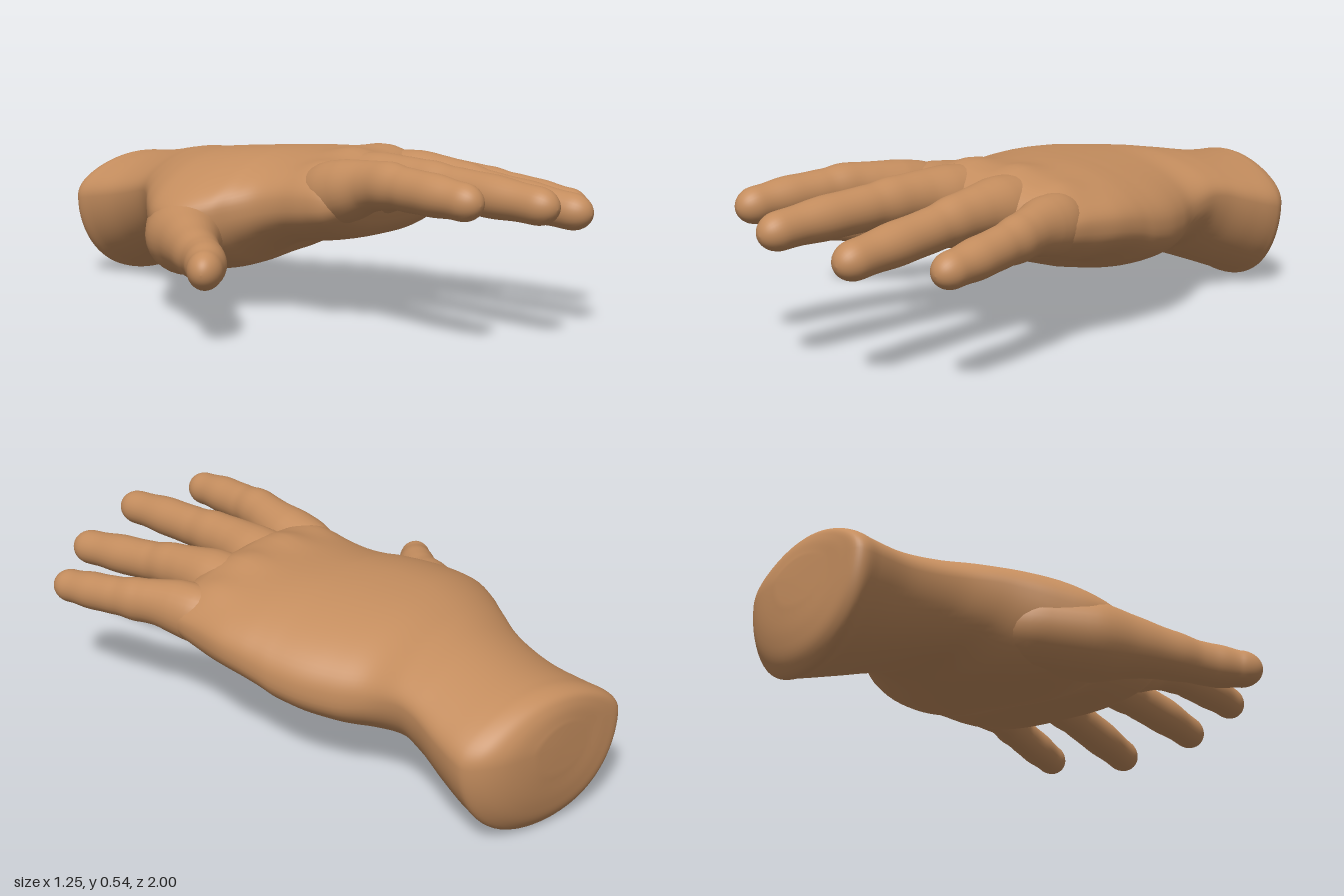
import * as THREE from 'three';

const skin = new THREE.MeshStandardMaterial({ color: 0xc48d5e });
const V = (x, y, z) => new THREE.Vector3(x, y, z);
const bell = (d, w) => Math.exp(-((d / w) ** 2));

// Skin a stack of rings (arrays of points) and close both ends with a fan.
function loft(name, rings) {
  const n = rings[0].length, pos = [], index = [];
  for (const ring of rings) for (const p of ring) pos.push(p.x, p.y, p.z);
  for (let i = 0; i < rings.length - 1; i++) {
    for (let j = 0; j < n; j++) {
      const a = i * n + j, b = i * n + (j + 1) % n;
      index.push(a, b, a + n, b, b + n, a + n);
    }
  }
  const cap = (row, flip) => {
    const mid = V(0, 0, 0), center = pos.length / 3;
    for (const p of rings[row]) mid.addScaledVector(p, 1 / n);
    pos.push(mid.x, mid.y, mid.z);
    for (let j = 0; j < n; j++) {
      const a = row * n + j, b = row * n + (j + 1) % n;
      index.push(center, flip ? b : a, flip ? a : b);
    }
  };
  cap(0, true);
  cap(rings.length - 1, false);
  const g = new THREE.BufferGeometry();
  g.setAttribute('position', new THREE.Float32BufferAttribute(pos, 3));
  g.setIndex(index);
  g.computeVertexNormals();
  const mesh = new THREE.Mesh(g, skin);
  mesh.name = name;
  return mesh;
}

// Finger or thumb: rows of [x, y, z, half width, half height], rounded at the tip,
// swelling slightly at each joint (position along the path, 0 to 1).
function digit(name, rows, joints) {
  const path = new THREE.CatmullRomCurve3(rows.map(r => V(r[0], r[1], r[2])));
  const size = new THREE.CatmullRomCurve3(rows.map(r => V(r[3], r[4], 0)));
  const tip = path.getPoint(1), rings = [], steps = 64, sides = 28;
  for (let i = 0; i <= steps; i++) {
    const s = i / steps, t = 1 - (1 - s) ** 1.6;
    const c = path.getPoint(t), r = size.getPoint(t), dir = path.getTangent(t);
    const side = V(0, 1, 0).cross(dir).normalize(), up = dir.clone().cross(side);
    const d = Math.min(1, c.distanceTo(tip) / (r.x * 1.2));
    let k = Math.max(0.02, Math.sqrt(1 - (1 - d) ** 2));
    for (const j of joints) k *= 1 + 0.045 * bell(t - j, 0.045) - 0.025 * bell(t - j - 0.08, 0.03);
    const ring = [];
    for (let j = 0; j < sides; j++) {
      const a = j / sides * Math.PI * 2;
      ring.push(c.clone().addScaledVector(side, Math.cos(a) * r.x * k)
        .addScaledVector(up, Math.sin(a) * r.y * k));
    }
    rings.push(ring);
  }
  return loft(name, rings);
}

// Wrist and palm: rows of [z, min x, max x, top, bottom, slant of z across x].
// The first rows dome over the cut wrist, the last ones thin out into the webs.
function palm() {
  const rows = [
    [-0.955, 0.25, 0.44, 0.34, 0.2, 0.2],
    [-0.942, 0.16, 0.55, 0.395, 0.1, 0.27],
    [-0.923, 0.105, 0.6, 0.425, 0.035, 0.32],
    [-0.89, 0.08, 0.62, 0.437, 0.0, 0.33],
    [-0.84, 0.075, 0.618, 0.44, 0.018, 0.28],
    [-0.73, 0.06, 0.59, 0.45, 0.06, 0.17],
    [-0.6, 0.0, 0.55, 0.472, 0.11, 0.05],
    [-0.5, -0.095, 0.53, 0.487, 0.135, 0],
    [-0.4, -0.205, 0.525, 0.495, 0.112, 0],
    [-0.3, -0.29, 0.555, 0.505, 0.10, 0],
    [-0.2, -0.31, 0.58, 0.512, 0.108, 0],
    [-0.1, -0.265, 0.59, 0.517, 0.13, 0],
    [-0.04, -0.212, 0.59, 0.519, 0.158, 0],
    [0.02, -0.18, 0.59, 0.52, 0.185, 0],
    [0.1, -0.172, 0.585, 0.52, 0.212, 0],
    [0.2, -0.185, 0.565, 0.52, 0.23, 0],
    [0.28, -0.188, 0.55, 0.508, 0.252, 0],
    [0.33, -0.165, 0.535, 0.48, 0.29, 0],
    [0.355, -0.13, 0.51, 0.445, 0.335, 0],
    [0.365, -0.1, 0.49, 0.41, 0.365, 0],
  ];
  const knuckles = [-0.09, 0.1, 0.29, 0.46];
  const across = new THREE.CatmullRomCurve3(rows.map(r => V(r[0], r[1], r[2])));
  const tall = new THREE.CatmullRomCurve3(rows.map(r => V(r[3], r[4], r[5])));
  const rings = [], steps = 100, sides = 72;
  for (let i = 0; i <= steps; i++) {
    const p = across.getPoint(i / steps), q = tall.getPoint(i / steps), ring = [];
    const cx = (p.y + p.z) / 2, hw = (p.z - p.y) / 2;
    const cy = (q.x + q.y) / 2, hh = (q.x - q.y) / 2;
    const inPalm = THREE.MathUtils.smoothstep(p.x, -0.6, -0.3);
    const power = 1 - 0.16 * inPalm;
    const round = c => Math.sign(c) * Math.abs(c) ** power;
    for (let j = 0; j < sides; j++) {
      const a = j / sides * Math.PI * 2, u = round(Math.cos(a)), v = round(Math.sin(a));
      const x = cx + hw * u;
      // the wrist is widest above its middle
      let y = cy + hh * v + 0.28 * hh * (1 - inPalm) * u * u * (1 - Math.abs(v));
      if (v > 0) {
        // back of the hand: knuckle bumps, sloping away to the little finger and the thumb
        for (const k of knuckles) y += 0.018 * v * bell(x - k, 0.06) * bell(p.x - 0.22, 0.09);
        y -= 0.03 * inPalm * v * Math.max(0, u) ** 2;
        y -= 0.09 * v * Math.min(0, u) ** 2 * bell(p.x + 0.22, 0.2);
      } else {
        // underside: higher on the little finger side, hollow in the middle
        y -= 0.05 * inPalm * v * Math.max(0, u) * (1 - THREE.MathUtils.smoothstep(p.x, -0.1, 0.2));
        y -= 0.04 * v * bell(x - 0.17, 0.14) * bell(p.x - 0.02, 0.15);
      }
      ring.push(V(x, y, p.x + q.z * (x - cx)));
    }
    rings.push(ring);
  }
  return loft('palmAndWrist', rings);
}

export function createModel() {
  const hand = new THREE.Group();
  hand.name = 'hand';
  hand.add(palm());

  hand.add(digit('indexFinger', [
    [-0.04, 0.37, 0.08, 0.05, 0.05],
    [-0.083, 0.408, 0.26, 0.095, 0.102],
    [-0.1, 0.427, 0.34, 0.092, 0.096],
    [-0.12, 0.446, 0.42, 0.075, 0.08],
    [-0.15, 0.457, 0.51, 0.066, 0.071],
    [-0.178, 0.453, 0.61, 0.063, 0.066],
    [-0.21, 0.447, 0.74, 0.059, 0.06],
    [-0.235, 0.435, 0.875, 0.051, 0.054],
  ], [0.58, 0.82]));

  hand.add(digit('middleFinger', [
    [0.12, 0.38, 0.08, 0.05, 0.05],
    [0.102, 0.418, 0.26, 0.1, 0.102],
    [0.091, 0.43, 0.34, 0.095, 0.097],
    [0.077, 0.44, 0.42, 0.078, 0.082],
    [0.06, 0.44, 0.53, 0.068, 0.074],
    [0.042, 0.435, 0.65, 0.064, 0.068],
    [0.012, 0.425, 0.82, 0.061, 0.062],
    [-0.012, 0.41, 1.0, 0.054, 0.055],
  ], [0.58, 0.82]));

  hand.add(digit('ringFinger', [
    [0.3, 0.37, 0.08, 0.05, 0.05],
    [0.298, 0.408, 0.26, 0.1, 0.103],
    [0.298, 0.42, 0.34, 0.094, 0.097],
    [0.297, 0.423, 0.42, 0.076, 0.082],
    [0.29, 0.415, 0.52, 0.065, 0.072],
    [0.282, 0.4, 0.63, 0.062, 0.066],
    [0.268, 0.38, 0.8, 0.061, 0.061],
    [0.258, 0.36, 0.975, 0.055, 0.056],
  ], [0.58, 0.82]));

  hand.add(digit('littleFinger', [
    [0.42, 0.36, 0.08, 0.05, 0.05],
    [0.463, 0.383, 0.26, 0.085, 0.094],
    [0.473, 0.39, 0.34, 0.08, 0.088],
    [0.487, 0.392, 0.41, 0.066, 0.075],
    [0.498, 0.385, 0.49, 0.06, 0.068],
    [0.504, 0.375, 0.59, 0.057, 0.062],
    [0.5, 0.36, 0.71, 0.056, 0.057],
    [0.495, 0.345, 0.84, 0.051, 0.052],
  ], [0.58, 0.82]));

  hand.add(digit('thumb', [
    [0.06, 0.27, -0.46, 0.06, 0.06],
    [-0.08, 0.255, -0.34, 0.13, 0.12],
    [-0.21, 0.247, -0.225, 0.135, 0.125],
    [-0.31, 0.244, -0.13, 0.098, 0.1],
    [-0.4, 0.235, -0.03, 0.073, 0.076],
    [-0.475, 0.228, 0.065, 0.065, 0.069],
    [-0.55, 0.222, 0.13, 0.057, 0.062],
    [-0.622, 0.217, 0.172, 0.047, 0.054],
  ], [0.58, 0.78]));

  return hand;
}
